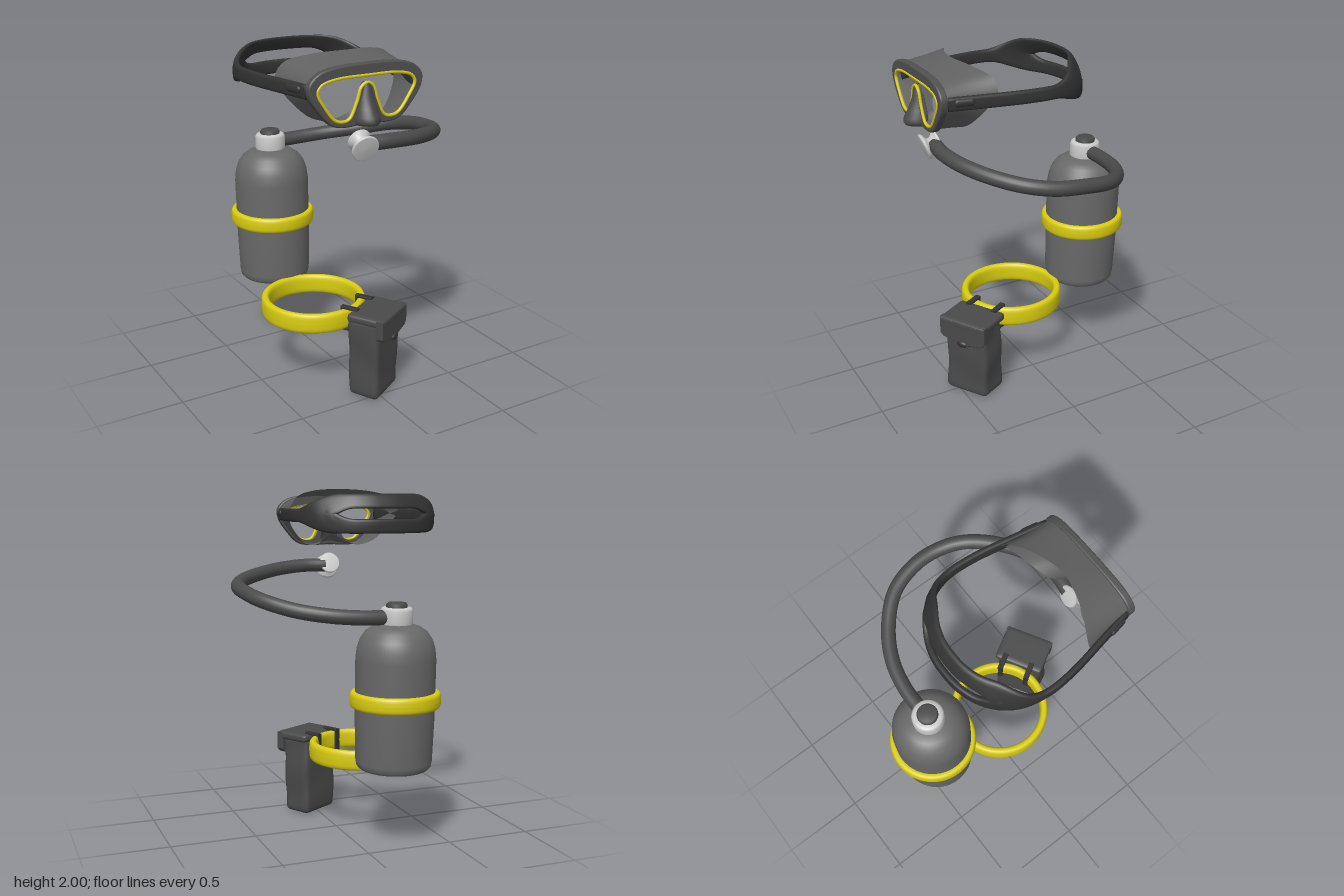
import * as THREE from 'three';
import { mergeVertices } from 'three/addons/utils/BufferGeometryUtils.js';

const CX = -0.175; // shared axis of tank, belt and mask
const mat = (color, side = THREE.FrontSide) => new THREE.MeshStandardMaterial({ color, side });
const DS = THREE.DoubleSide;
const YELLOW = 0xd8cc10, DARK = 0x333333, RUBBER = 0x4a4a4a, METAL = 0x686868, LIGHT = 0xcccccc;
const V3 = (x, y, z = 0) => new THREE.Vector3(x, y, z);
const V2 = (x, y) => new THREE.Vector2(x, y);
const { lerp, smoothstep } = THREE.MathUtils;

function add(parent, name, geo, material, x = 0, y = 0, z = 0) {
  const m = new THREE.Mesh(geo, material);
  m.name = name;
  m.position.set(x, y, z);
  parent.add(m);
  return m;
}

// Skin a list of equally long cross-sections
function loft(rings, closed = true, caps = false) {
  const n = rings[0].length, pos = [], idx = [];
  rings.forEach(r => r.forEach(p => pos.push(p.x, p.y, p.z)));
  for (let i = 0; i < rings.length - 1; i++)
    for (let j = 0; j < (closed ? n : n - 1); j++) {
      const a = i * n + j, b = i * n + (j + 1) % n;
      idx.push(a, b, a + n, b, b + n, a + n);
    }
  if (caps) {
    const e = (rings.length - 1) * n;
    for (let j = 1; j < n - 1; j++) idx.push(0, j + 1, j, e, e + j, e + j + 1);
  }
  const g = new THREE.BufferGeometry();
  g.setAttribute('position', new THREE.Float32BufferAttribute(pos, 3));
  g.setIndex(idx);
  g.computeVertexNormals();
  return g;
}

// Closed smooth outline from its right half, first and last points on the centre line
function mirrored(half) {
  const pts = half.map(p => V3(...p));
  const other = pts.slice(1, -1).reverse().map(p => V3(-p.x, p.y, p.z));
  return new THREE.CatmullRomCurve3([...pts, ...other], true);
}

// Flat hoop with rounded edges
function hoop(r, ht, hh) {
  const prof = [];
  for (let i = 0; i <= 24; i++) {
    const a = -i / 24 * Math.PI * 2, c = Math.cos(a), s = Math.sin(a);
    prof.push(V2(r + ht * Math.sign(c) * Math.abs(c) ** 0.7, -hh * Math.sign(s) * Math.abs(s) ** 0.6));
  }
  return new THREE.LatheGeometry(prof, 72);
}

// Box with rounded edges and a slightly lumpy surface
function softBox(w, h, d, r, lump = 0) {
  let g = new THREE.BoxGeometry(w, h, d, 18, 24, 14);
  g.deleteAttribute('uv');
  g.deleteAttribute('normal');
  g = mergeVertices(g);
  const p = g.attributes.position, v = V3(0, 0, 0), c = V3(0, 0, 0);
  const lim = V3(w / 2 - r, h / 2 - r, d / 2 - r), neg = lim.clone().negate();
  for (let i = 0; i < p.count; i++) {
    v.fromBufferAttribute(p, i);
    c.copy(v).clamp(neg, lim);
    v.sub(c).setLength(r).add(c);
    const k = 1 + lump * Math.sin(v.y * 16 + v.x * 9) * Math.cos(v.z * 14 + v.y * 5);
    p.setXYZ(i, v.x * k, v.y, v.z * k);
  }
  g.computeVertexNormals();
  return g;
}

function buildTank(root) {
  const tank = new THREE.Group();
  tank.name = 'tank';
  tank.position.set(CX, 0.855, -0.443);
  tank.rotation.x = -0.03;
  root.add(tank);
  const body = [[0, 0.462], [0.17, 0.463], [0.195, 0.468], [0.208, 0.482], [0.213, 0.51], [0.22, 0.75], [0.221, 1.08],
    [0.214, 1.14], [0.198, 1.19], [0.17, 1.23], [0.135, 1.255], [0.09, 1.27], [0, 1.275]];
  add(tank, 'tankBody', new THREE.LatheGeometry(body.map(p => V2(p[0], p[1] - 0.855)), 64), mat(METAL));
  const neck = [[0.08, 1.265], [0.089, 1.275], [0.089, 1.345], [0.08, 1.36], [0.06, 1.362], [0, 1.362]];
  add(tank, 'tankNeck', new THREE.LatheGeometry(neck.map(p => V2(p[0], p[1] - 0.855)), 48), mat(LIGHT));
  const knob = [[0.058, 1.35], [0.058, 1.376], [0.05, 1.387], [0, 1.387]];
  add(tank, 'valveKnob', new THREE.LatheGeometry(knob.map(p => V2(p[0], p[1] - 0.855)), 40), mat(RUBBER));
  add(root, 'tankRing', hoop(0.227, 0.024, 0.045), mat(YELLOW, DS), CX, 0.855, -0.447);
}

function buildHose(root) {
  const path = new THREE.CatmullRomCurve3([
    [-0.13, 1.53, 0.535], [0, 1.53, 0.55], [0.18, 1.515, 0.515], [0.35, 1.49, 0.42], [0.48, 1.465, 0.29], [0.54, 1.445, 0.15],
    [0.55, 1.43, 0], [0.5, 1.395, -0.18], [0.36, 1.35, -0.33], [0.2, 1.325, -0.42], [0.04, 1.312, -0.457], [-0.12, 1.308, -0.462],
  ].map(p => V3(...p)));
  add(root, 'hose', new THREE.TubeGeometry(path, 100, 0.041, 20), mat(RUBBER));
  // Spool-shaped mouthpiece
  const spool = [[0, -0.055], [0.058, -0.055], [0.065, -0.048], [0.058, -0.038], [0.036, -0.015], [0.036, 0.005],
    [0.066, 0.018], [0.075, 0.026], [0.075, 0.034], [0.068, 0.04], [0, 0.042]];
  const m = add(root, 'mouthpiece', new THREE.LatheGeometry(spool.map(p => V2(...p)), 40), mat(LIGHT), -0.16, 1.53, 0.555);
  m.quaternion.setFromUnitVectors(V3(0, 1, 0), V3(-0.1, -0.35, 0.94).normalize());
}

function buildPouch(root) {
  const g = new THREE.Group();
  g.name = 'pouch';
  g.position.set(0.033, 0, 0.42);
  g.rotation.y = Math.PI / 6;
  root.add(g);
  const cloth = mat(RUBBER);
  add(g, 'pouchBody', softBox(0.28, 0.49, 0.19, 0.03, 0.05), cloth, -0.005, 0.25, -0.018);
  add(g, 'flapTop', softBox(0.31, 0.05, 0.23, 0.02), cloth, 0, 0.488, 0);
  // Front of the flap, with a lower middle
  const s = new THREE.Shape([[-0.147, 0.5], [-0.147, 0.405], [-0.13, 0.388], [-0.05, 0.372], [-0.03, 0.362], [0.03, 0.362],
    [0.05, 0.372], [0.13, 0.388], [0.147, 0.405], [0.147, 0.5]].map(p => V2(...p)));
  add(g, 'flapFront', new THREE.ExtrudeGeometry(s, { depth: 0.03, bevelSize: 0.008, bevelThickness: 0.008, bevelSegments: 3 }), cloth, 0, 0, 0.076);
  add(g, 'flapTab', new THREE.SphereGeometry(1, 24, 16), mat(DARK), 0, 0.367, 0.112).scale.set(0.035, 0.02, 0.016);
  // Loops round the belt
  const rect = (C, w, h) => new C([V2(-w, -h), V2(w, -h), V2(w, h), V2(-w, h)]);
  const loop = rect(THREE.Shape, 0.05, 0.068);
  loop.holes.push(rect(THREE.Path, 0.042, 0.06));
  const loopGeo = new THREE.ExtrudeGeometry(loop, { depth: 0.026, bevelSize: 0.004, bevelThickness: 0.004, bevelSegments: 2 });
  for (const x of [-0.095, 0.08])
    add(g, 'beltLoop', loopGeo, mat(DARK), x, 0.452, -0.13).rotation.y = Math.PI / 2;
}

function buildMask(root) {
  const g = new THREE.Group();
  g.name = 'mask';
  g.position.x = CX;
  root.add(g);
  // Frame with lens opening and nose opening
  const outer = mirrored([[0, 1.958], [0.19, 1.95], [0.275, 1.927], [0.322, 1.88], [0.318, 1.825], [0.265, 1.745], [0.2, 1.68], [0.14, 1.664], [0, 1.668]]);
  const lens = mirrored([[0, 1.907], [0.19, 1.902], [0.265, 1.88], [0.286, 1.845], [0.25, 1.775], [0.19, 1.7], [0.15, 1.686],
    [0.105, 1.695], [0.06, 1.78], [0.035, 1.85], [0, 1.87]]);
  const nostril = mirrored([[0, 1.82], [0.03, 1.78], [0.055, 1.71], [0.05, 1.685], [0, 1.68]]);
  const flat = c => c.getPoints(110).slice(0, -1).map(p => V2(p.x, p.y));
  const shape = new THREE.Shape(flat(outer));
  shape.holes.push(new THREE.Path(flat(lens)), new THREE.Path(flat(nostril)));
  add(g, 'maskFrame', new THREE.ExtrudeGeometry(shape, { depth: 0.022, bevelSize: 0.01, bevelThickness: 0.01, bevelSegments: 4 }),
    mat(0x505050), 0, 0, 0.585);
  add(g, 'lensRim', new THREE.TubeGeometry(lens, 160, 0.009, 8, true), mat(YELLOW), 0, 0, 0.613);
  // Skirt from the frame back to the face
  const front = mirrored([[0, 1.955, 0.59], [0.19, 1.947, 0.59], [0.275, 1.922, 0.59], [0.32, 1.875, 0.59], [0.315, 1.822, 0.59],
    [0.26, 1.742, 0.59], [0.195, 1.68, 0.59], [0.13, 1.665, 0.59], [0, 1.668, 0.59]]);
  const back = mirrored([[0, 2, 0.41], [0.19, 1.987, 0.365], [0.305, 1.95, 0.31], [0.35, 1.885, 0.3], [0.342, 1.82, 0.34],
    [0.285, 1.735, 0.39], [0.215, 1.675, 0.43], [0.13, 1.66, 0.46], [0, 1.72, 0.53]]);
  const rings = [];
  for (let i = 0; i <= 8; i++) {
    const t = i / 8, ring = [];
    for (let j = 0; j < 96; j++) {
      const p = front.getPoint(j / 96).lerp(back.getPoint(j / 96), t);
      p.x *= 1 - 0.03 * Math.sin(Math.PI * t);
      ring.push(p);
    }
    rings.push(ring);
  }
  add(g, 'maskSkirt', loft(rings), mat(0x606060, DS));
  // Nose pocket: height, half width, front z
  const nose = [[1.875, 0.012, 0.617], [1.86, 0.026, 0.625], [1.8, 0.042, 0.637], [1.74, 0.058, 0.664], [1.7, 0.072, 0.688],
    [1.675, 0.074, 0.692], [1.66, 0.066, 0.682], [1.655, 0.03, 0.64], [1.655, 0.005, 0.6]].map(([y, w, z]) =>
    Array.from({ length: 21 }, (_, i) => {
      const a = i / 20 * Math.PI, c = Math.cos(a);
      return V3(w * Math.sign(c) * Math.abs(c) ** 1.2, y, 0.59 + (z - 0.59) * Math.sin(a) ** 0.9);
    }));
  add(g, 'nosePocket', loft(nose, false), mat(RUBBER, DS));
  buildStrap(g);
}

// Head strap: one band at the sides that splits into two behind the head
function buildStrap(g) {
  const half = [[0.318, 0.57], [0.355, 0.38], [0.395, 0.15], [0.4, 0], [0.37, -0.12], [0.3, -0.215], [0.2, -0.285], [0.1, -0.318]];
  const path = new THREE.CatmullRomCurve3([...half.map(([x, z]) => V3(x, 0, z)), V3(0, 0, -0.326),
    ...half.map(([x, z]) => V3(-x, 0, z)).reverse()]);
  for (const upper of [true, false]) {
    const rings = [];
    for (let i = 0; i <= 120; i++) {
      const p = path.getPoint(i / 120), t = path.getTangent(i / 120);
      const wide = smoothstep(-p.z, 0, 0.25), split = smoothstep(-p.z, 0.13, 0.3);
      const top = lerp(1.885, 1.968, wide), bot = lerp(1.81, 1.752, wide);
      const y1 = upper ? top : lerp(top, 1.83, split), y0 = upper ? lerp(bot, 1.888, split) : bot;
      rings.push(Array.from({ length: 16 }, (_, j) => {
        const a = j / 16 * Math.PI * 2, c = Math.cos(a), s = Math.sin(a);
        const y = (y0 + y1) / 2 + (y1 - y0) / 2 * Math.sign(s) * Math.abs(s) ** 0.6;
        const off = 0.017 * Math.sign(c) * Math.abs(c) ** 0.6 - Math.max(0, y - 1.86) * 0.55 * wide;
        return V3(p.x - t.z * off, y, p.z + t.x * off);
      }));
    }
    add(g, upper ? 'upperStrap' : 'lowerStrap', loft(rings, true, true), mat(DARK, DS));
  }
  // Oval buckles on both sides
  for (const s of [1, -1]) {
    const b = add(g, 'strapBuckle', new THREE.CapsuleGeometry(0.02, 0.07, 6, 16), mat(DARK), s * 0.35, 1.855, 0.49);
    b.rotation.set(Math.PI / 2, 0, s * 0.19);
    b.scale.x = 0.6;
  }
}

export function createModel() {
  const root = new THREE.Group();
  root.name = 'divingSet';
  buildTank(root);
  buildHose(root);
  add(root, 'beltRing', hoop(0.281, 0.024, 0.058), mat(YELLOW, DS), CX, 0.452, 0.055);
  buildPouch(root);
  buildMask(root);
  return root;
}
